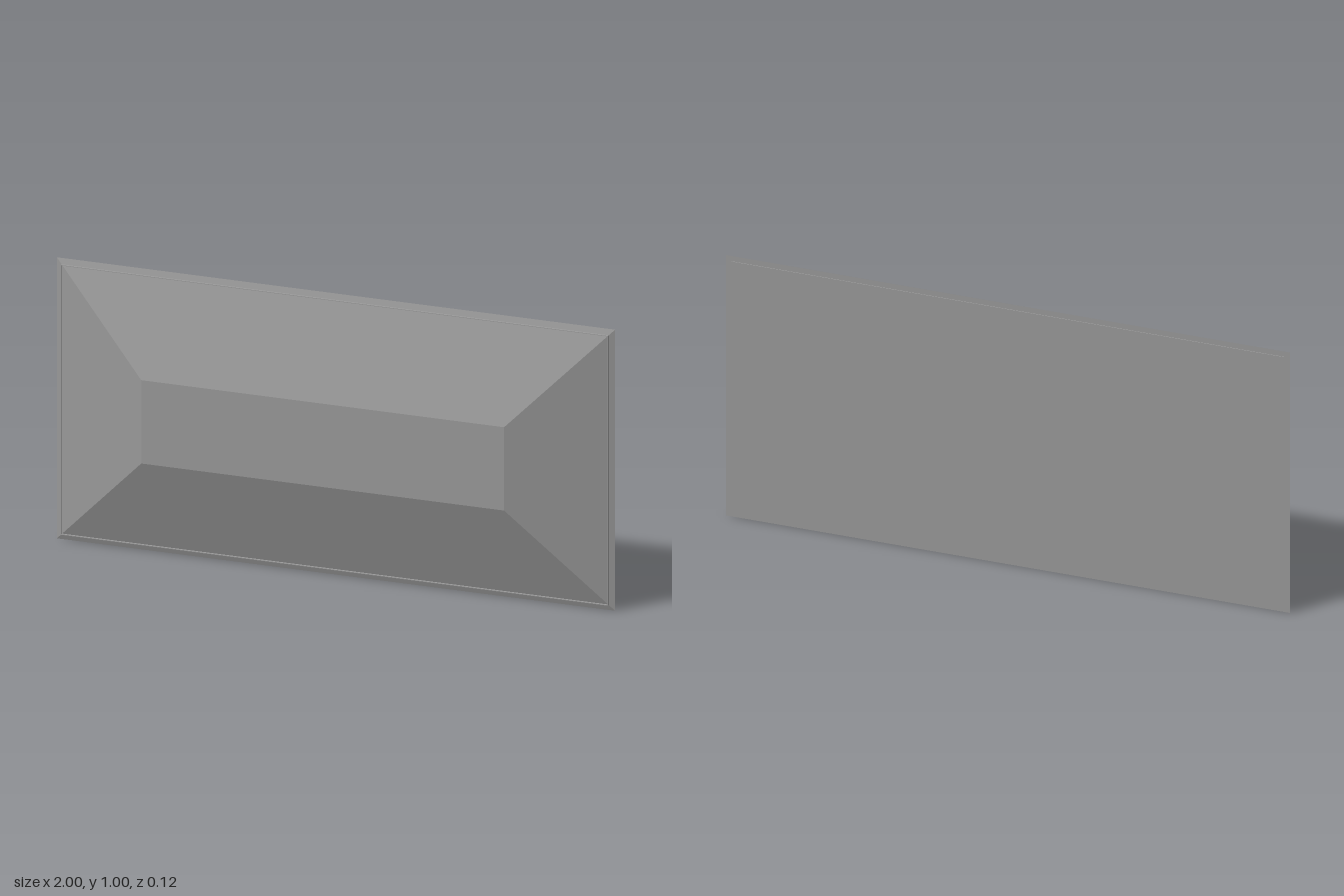
import * as THREE from 'three';

const WIDTH = 2, HEIGHT = 0.995;
const BACK = -0.06, FRONT = 0.0625;

// Bevelled panel: a box whose front face is drawn inwards on all four sides
function bevelledPanel(inset) {
  const geometry = new THREE.BoxGeometry(WIDTH, HEIGHT, FRONT - BACK);
  const p = geometry.attributes.position;
  for (let i = 0; i < p.count; i++) {
    if (p.getZ(i) > 0) {
      p.setX(i, Math.sign(p.getX(i)) * (WIDTH / 2 - inset));
      p.setY(i, Math.sign(p.getY(i)) * (HEIGHT / 2 - inset));
    }
  }
  geometry.computeVertexNormals();
  return geometry;
}

export function createModel() {
  const group = new THREE.Group();
  group.name = 'bevelledPanel';
  const material = new THREE.MeshStandardMaterial({ color: 0x9a9a9a, flatShading: true });

  const add = (name, geometry, x, y, z) => {
    const mesh = new THREE.Mesh(geometry, material);
    mesh.name = name;
    mesh.position.set(x, HEIGHT / 2 + y, z);
    group.add(mesh);
  };

  add('panel', bevelledPanel(0.35), 0, 0, (FRONT + BACK) / 2);

  // Shallow tray set just inside the edge: a back plate and four thin walls
  const edge = 0.02, wall = 0.002, trayBack = -0.0625, trayFront = -0.045;
  const w = WIDTH - 2 * edge, h = HEIGHT - 2 * edge;
  add('backPlate', new THREE.BoxGeometry(w, h, BACK - trayBack), 0, 0, (BACK + trayBack) / 2);

  const depth = trayFront - BACK, z = (trayFront + BACK) / 2;
  for (const side of [-1, 1]) {
    add(side > 0 ? 'topTrim' : 'bottomTrim',
      new THREE.BoxGeometry(w, wall, depth), 0, side * (h - wall) / 2, z);
    add(side > 0 ? 'leftTrim' : 'rightTrim',
      new THREE.BoxGeometry(wall, h - 2 * wall, depth), side * (w - wall) / 2, 0, z);
  }
  return group;
}
